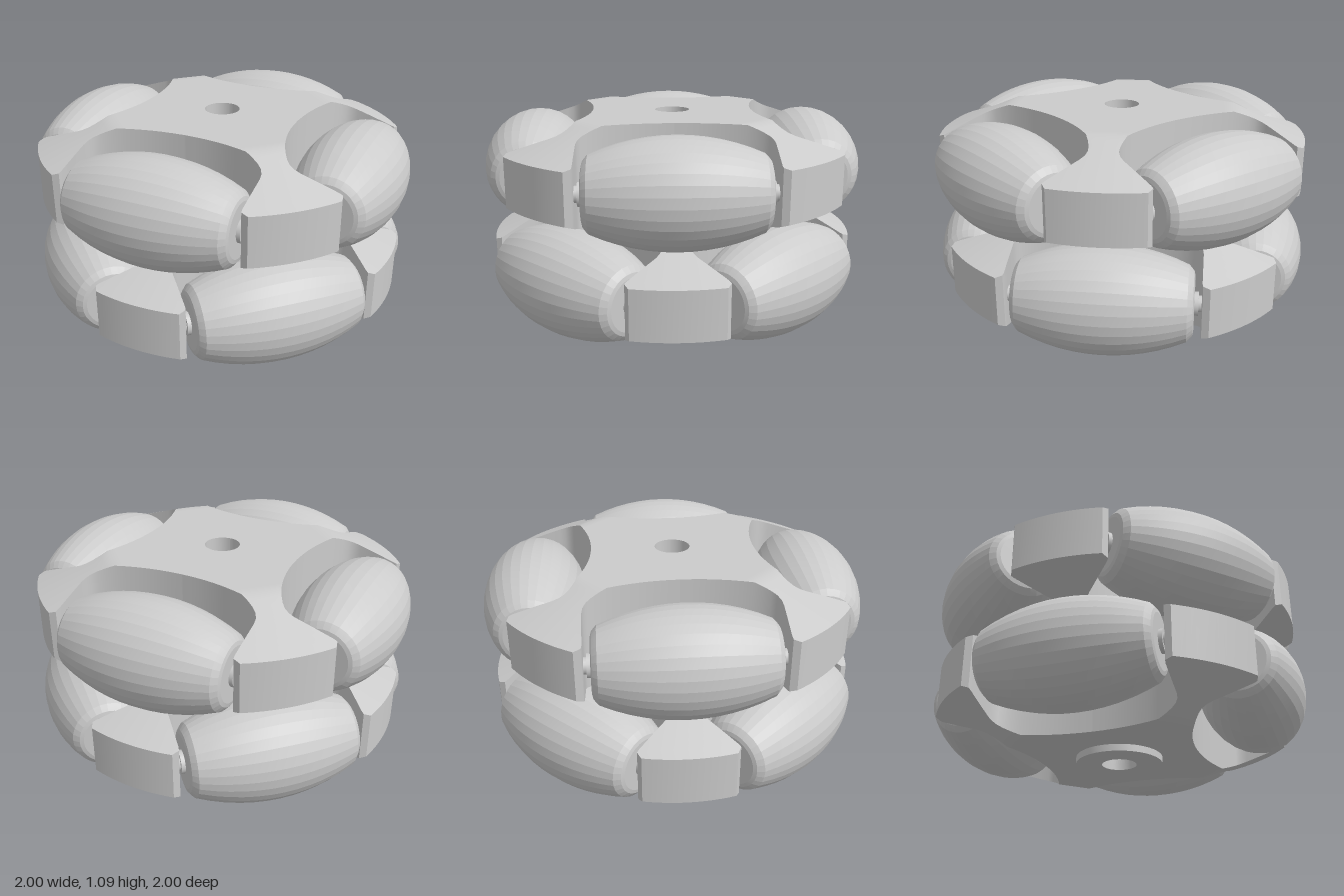
import * as THREE from 'three';
import { toCreasedNormals } from 'three/addons/utils/BufferGeometryUtils.js';

const material = new THREE.MeshStandardMaterial({ color: 0xcccccc });
const BORE = 0.092, RIM = 0.97, HALF = 0.272, AXIS = 0.73;
const TWIST = THREE.MathUtils.degToRad(6.5);

function add(parent, name, geometry) {
  const mesh = new THREE.Mesh(geometry, material);
  mesh.name = name;
  parent.add(mesh);
  return mesh;
}

// Half thickness of the frame: flat in the middle, conical towards the rim
const halfThickness = (r) => HALF - Math.max(0, r - 0.6) * 0.39;

// One quarter of the frame: a wedge of the hub, a narrow neck and a flared lug, pointing along +z
function quarterGeometry() {
  const cols = 12, rows = [];
  // pocket wall, as (along roller, outward) in the frame of the neighbouring roller
  const wall = [[0, 0.425], [0.06, 0.427], [0.12, 0.432], [0.18, 0.441], [0.24, 0.454], [0.3, 0.471],
    [0.35, 0.488], [0.39, 0.507], [0.425, 0.528], [0.45, 0.55], [0.465, 0.578], [0.47, 0.61],
    [0.47, 0.68], [0.47, 0.75], [0.47, 0.8]];
  const stations = wall.map(([a, b]) => [(a + b) * Math.SQRT1_2, (b - a) * Math.SQRT1_2]);
  stations.push([0.912, 0.243]);
  const fractions = Array.from({ length: cols + 1 }, (_, j) => (2 * j) / cols - 1);
  rows.push(fractions.map((f) => [BORE * Math.sin(f * Math.PI / 4), BORE * Math.cos(f * Math.PI / 4)]));
  for (const [s, w] of stations) rows.push(fractions.map((f) => [f * w, s]));
  rows.push(fractions.map((f) => [f * 0.225, Math.sqrt(RIM * RIM - (f * 0.225) ** 2)]));

  const positions = [], index = [], loop = 2 * (cols + 1);
  for (const row of rows) {
    const top = row.map(([x, z]) => [x, halfThickness(Math.hypot(x, z)), z]);
    const bottom = top.map(([x, y, z]) => [x, -y, z]).reverse();
    positions.push(...top.flat(), ...bottom.flat());
  }
  const quad = (a, b, c, d) => index.push(a, b, c, a, c, d);
  for (let i = 0; i < rows.length - 1; i++) {
    for (let k = 0; k < loop; k++) {
      const n = (k + 1) % loop;
      quad(i * loop + k, (i + 1) * loop + k, (i + 1) * loop + n, i * loop + n);
    }
  }
  // bore wall and outer lug face
  const last = (rows.length - 1) * loop;
  for (let j = 0; j < cols; j++) {
    const under = loop - 1 - j;
    quad(under, j, j + 1, under - 1);
    quad(last + under, last + under - 1, last + j + 1, last + j);
  }
  const geometry = new THREE.BufferGeometry();
  geometry.setAttribute('position', new THREE.Float32BufferAttribute(positions, 3));
  geometry.setIndex(index);
  return toCreasedNormals(geometry, 0.36);
}

// Barrel roller whose outer line follows the wheel's unit circle
function rollerGeometry() {
  const half = 0.435, profile = [[0, -half], [0.135, -half], [0.155, -0.43], [0.17, -0.418]];
  for (let i = 0; i <= 12; i++) {
    const x = -0.405 + (0.81 * i) / 12;
    profile.push([Math.sqrt(1 - x * x) - AXIS, x]);
  }
  profile.push([0.17, 0.418], [0.155, 0.43], [0.135, half], [0, half]);
  const points = profile.map(([r, x]) => new THREE.Vector2(r, x));
  const geometry = new THREE.LatheGeometry(points, 32).rotateZ(Math.PI / 2);
  return toCreasedNormals(geometry, 0.12);
}

export function createModel() {
  const model = new THREE.Group();
  model.name = 'omniWheel';
  const quarter = quarterGeometry(), roller = rollerGeometry();
  const pin = new THREE.CylinderGeometry(0.04, 0.04, 1.02, 20).rotateZ(Math.PI / 2);
  const collar = new THREE.CylinderGeometry(0.058, 0.058, 0.91, 20).rotateZ(Math.PI / 2);

  // Two layers, the lower one turned by an eighth of a turn
  const layers = [['upperLayer', 0.816, TWIST], ['lowerLayer', 0.308, TWIST + Math.PI / 4]];
  for (const [name, y, angle] of layers) {
    const layer = new THREE.Group();
    layer.name = name;
    layer.position.y = y;
    layer.rotation.y = angle;
    model.add(layer);
    for (let i = 0; i < 4; i++) {
      const turn = i * Math.PI / 2;
      add(layer, 'frameQuarter', quarter).rotation.y = turn + Math.PI / 4;
      const unit = new THREE.Group();
      unit.name = 'rollerUnit';
      unit.rotation.y = turn;
      layer.add(unit);
      for (const [part, geometry] of [['roller', roller], ['axlePin', pin], ['axleCollar', collar]]) {
        add(unit, part, geometry).position.z = AXIS;
      }
    }
  }

  // Round boss under the hub, with the bore through it
  const boss = [[BORE, 0.05], [BORE, 0], [0.23, 0], [0.23, 0.05]].map(([r, y]) => new THREE.Vector2(r, y));
  add(model, 'hubBoss', toCreasedNormals(new THREE.LatheGeometry(boss, 48), 0.5));
  return model;
}
